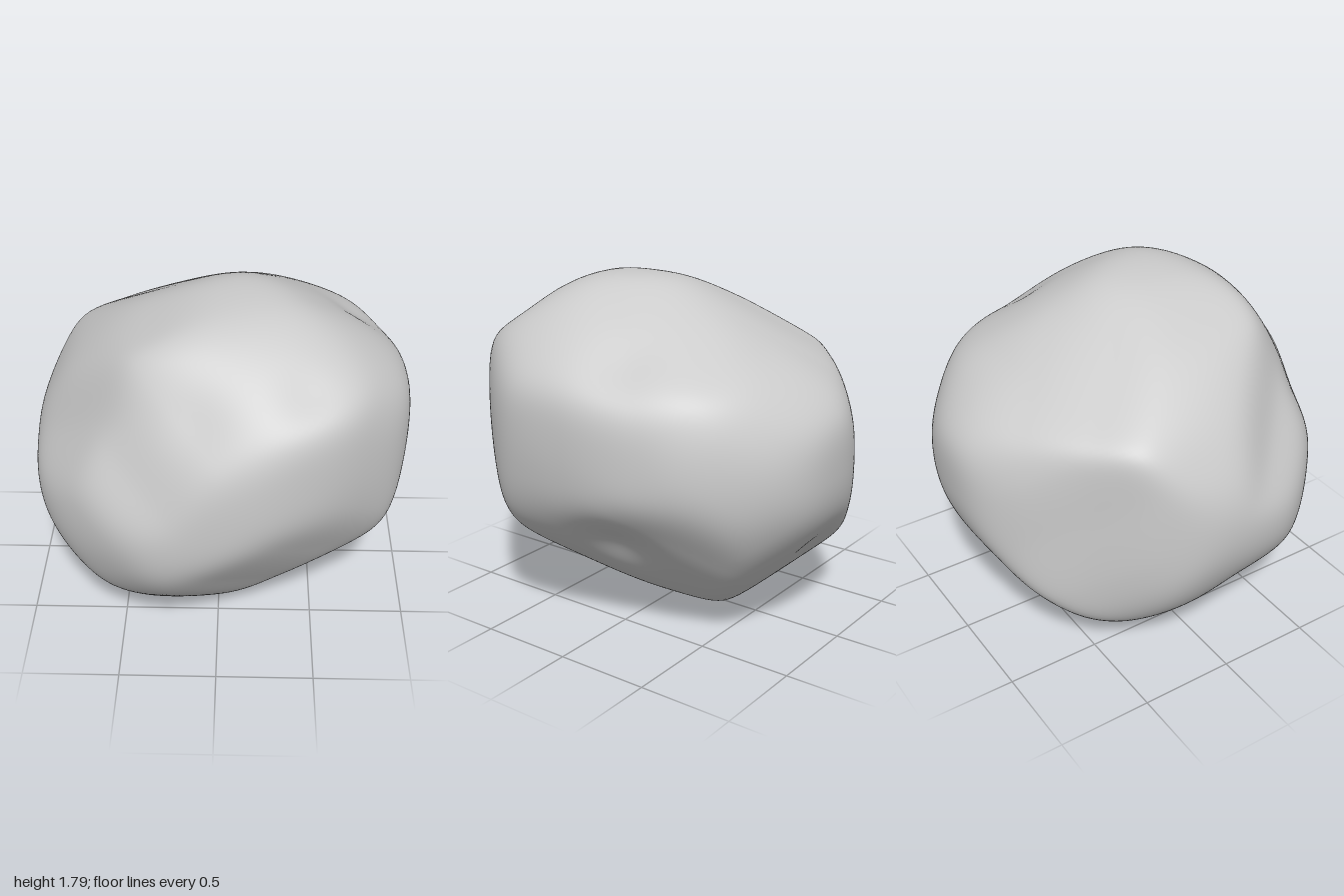
import * as THREE from 'three';
import { mergeVertices } from 'three/addons/utils/BufferGeometryUtils.js';

const V = (x, y, z) => new THREE.Vector3(x, y, z);

// A contour of the rock in the plane of two axes: radii at even angles, turning from right to up.
// Returns how much of the contour's reach one unit along a direction uses up.
function contour(right, up, radii) {
  right.normalize();
  up.normalize();
  const n = radii.length;
  const g = i => 1 / radii[(i + n) % n];
  return d => {
    const a = d.dot(right), b = d.dot(up);
    const turn = (Math.atan2(b, a) / (2 * Math.PI) + 1) % 1 * n;
    const i = Math.floor(turn), t = turn - i;
    const [p, q, r, s] = [g(i - 1), g(i), g(i + 1), g(i + 2)];
    const smooth = q + 0.5 * t * (r - p + t * (2 * p - 5 * q + 4 * r - s + t * (3 * (q - r) + s - p)));
    return Math.hypot(a, b) * smooth;
  };
}

// Three upright contours and three diagonal ones, tilted by 30 degrees
const side = 0.5 / Math.SQRT2, rise = Math.sqrt(0.75);
const contours = [
  contour(V(1, 0, 0), V(0, 1, 0),
    [0.95, 1.055, 1.01, 0.95, 0.88, 0.84, 0.88, 0.91, 0.975, 0.97, 0.99, 0.96, 0.84, 0.8, 0.8, 0.88]),
  contour(V(0, 0, 1), V(0, 1, 0),
    [1, 1.04, 1.025, 0.965, 0.9, 0.82, 0.84, 1.01, 1, 0.95, 0.9, 0.94, 0.9, 0.95, 0.96, 0.985]),
  contour(V(1, 0, 0), V(0, 0, 1),
    [0.95, 1.005, 1, 0.975, 0.99, 1.02, 1.02, 1.01, 0.98, 0.905, 0.855, 0.925, 1, 1.01, 1.01, 0.945]),
  contour(V(1, 0, -1), V(-side, rise, -side),
    [1, 0.99, 0.92, 0.805, 0.78, 0.845, 0.885, 0.865, 1.005, 1.01, 0.99, 0.97, 0.805, 0.795, 0.785, 0.86]),
  contour(V(-1, 0, 1), V(side, rise, side),
    [1.02, 0.915, 0.95, 0.995, 1.01, 1.01, 0.995, 1, 1.01, 0.955, 0.895, 0.89, 0.955, 0.995, 0.955, 1.04]),
  contour(V(-1, 0, -1), V(side, rise, -side),
    [0.865, 0.91, 0.93, 0.875, 0.845, 0.9, 1.05, 1.07, 0.975, 0.865, 0.84, 0.915, 0.985, 0.955, 0.995, 0.93]),
];

// Shallow hollow: direction, angular width, depth
const hollow = (x, y, z, width, depth) => ({ dir: V(x, y, z).normalize(), width, depth });
const hollows = [
  hollow(0.4, 0.58, 0.65, 0.16, 0.03),
  hollow(-0.1, 0.55, 0.8, 0.18, 0.02),
  hollow(0.8, -0.38, -0.15, 0.22, 0.05),
  hollow(0.75, 0.6, -0.2, 0.2, 0.03),
  hollow(-0.1, -0.45, -0.8, 0.2, 0.03),
];

// Distance of the surface from the middle: inside every contour, with softly blended ridges
function surfaceRadius(d) {
  const sharpness = 30, blendAllowance = 1.02;
  const sum = contours.reduce((total, reach) => total + reach(d) ** sharpness, 0);
  let r = blendAllowance * sum ** (-1 / sharpness);
  for (const { dir, width, depth } of hollows) {
    r -= depth * Math.exp(-((d.angleTo(dir) / width) ** 2));
  }
  return r;
}

export function createModel() {
  // Fine sphere with shared corners, so the shading is smooth
  const sphere = new THREE.IcosahedronGeometry(1, 40);
  sphere.deleteAttribute('uv');
  sphere.deleteAttribute('normal');
  const geometry = mergeVertices(sphere, 1e-5);

  const pos = geometry.attributes.position, d = V(0, 0, 0);
  for (let i = 0; i < pos.count; i++) {
    d.fromBufferAttribute(pos, i).normalize();
    d.multiplyScalar(surfaceRadius(d));
    pos.setXYZ(i, d.x, d.y, d.z);
  }
  geometry.computeVertexNormals();

  // Rest the rock on the ground
  geometry.center();
  geometry.translate(0, -geometry.boundingBox.min.y, 0);

  const boulder = new THREE.Mesh(geometry, new THREE.MeshStandardMaterial({ color: 0xcccccc }));
  boulder.name = 'boulder';
  const group = new THREE.Group();
  group.name = 'rock';
  group.add(boulder);
  return group;
}
